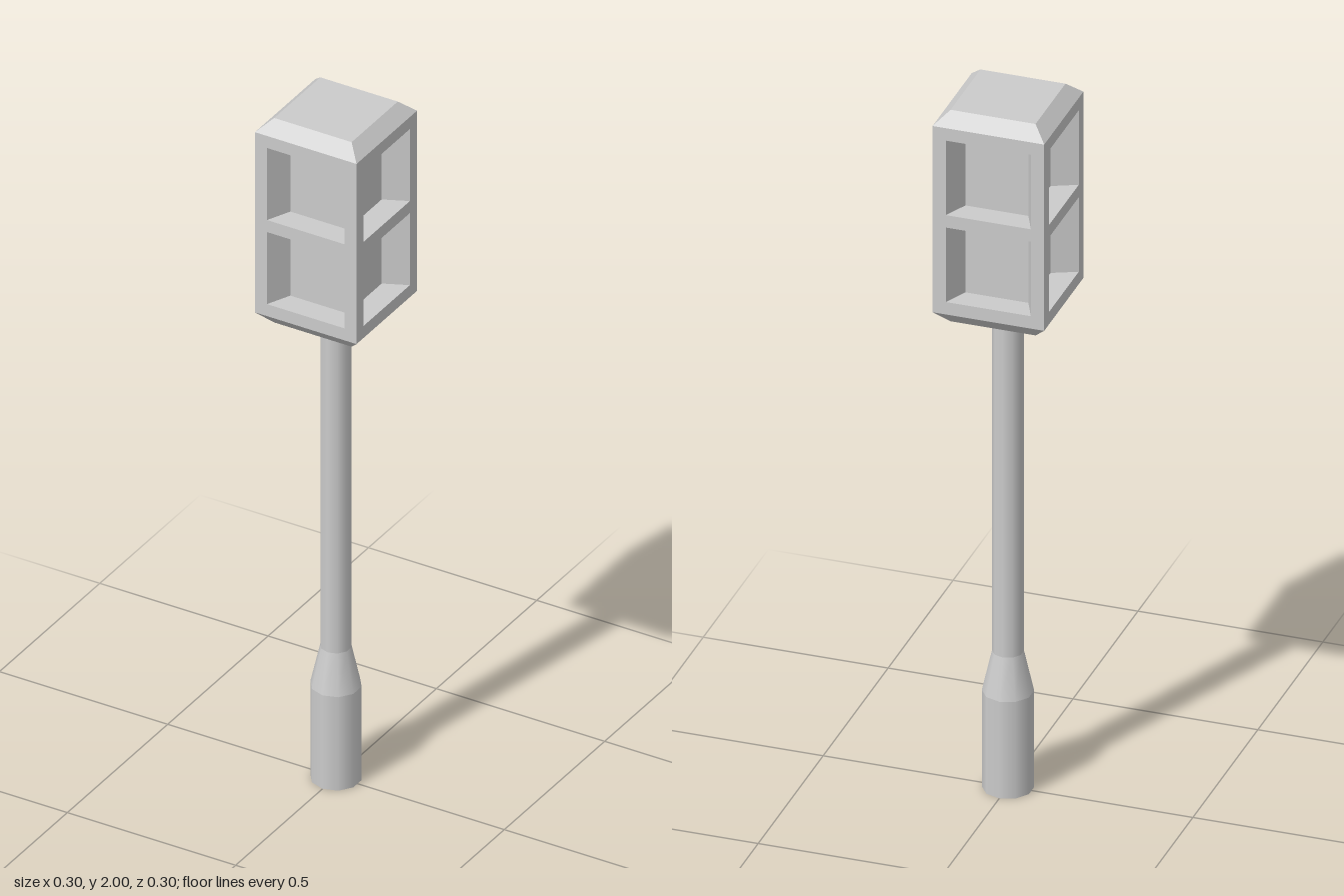
import * as THREE from 'three';

export function createModel() {
  const group = new THREE.Group();
  const flat = new THREE.MeshStandardMaterial({ color: 0xcccccc, flatShading: true });
  const smooth = new THREE.MeshStandardMaterial({ color: 0xcccccc });

  function add(name, geometry, y = 0, material = flat) {
    const mesh = new THREE.Mesh(geometry, material);
    mesh.name = name;
    mesh.position.y = y;
    group.add(mesh);
    return mesh;
  }

  // Round section of the post between two heights
  function section(name, rTop, rBottom, y0, y1, open = true) {
    add(name, new THREE.CylinderGeometry(rTop, rBottom, y1 - y0, 10, 1, open), (y0 + y1) / 2, smooth);
  }
  section('postBase', 0.067, 0.067, 0, 0.28, false);
  section('postTaper', 0.041, 0.067, 0.28, 0.395);
  section('postShaft', 0.041, 0.041, 0.395, 1.4);

  // Square frustum given by its half widths
  function frustum(name, top, bottom, y0, y1) {
    const geometry = new THREE.CylinderGeometry(top * Math.SQRT2, bottom * Math.SQRT2, y1 - y0, 4);
    geometry.rotateY(Math.PI / 4);
    add(name, geometry, (y0 + y1) / 2);
  }
  const half = 0.151, open = 0.115, core = 0.085;
  const y0 = 1.425, y1 = 1.965, bar = 0.036;
  frustum('headBottom', half, open, 1.387, y0);
  frustum('headRoof', open, half, y1, 2);

  // Horizontal frame bars around the head
  for (const y of [y0 + bar / 2, (y0 + y1) / 2, y1 - bar / 2]) {
    add('frameBar', new THREE.BoxGeometry(half * 2, bar, half * 2), y);
  }

  // Recessed panels of all four sides
  add('recessedPanels', new THREE.BoxGeometry(core * 2, y1 - y0, core * 2), (y0 + y1) / 2);

  // Corner posts with slanted inner sides
  const profile = new THREE.Shape([
    new THREE.Vector2(core, core),
    new THREE.Vector2(half, open),
    new THREE.Vector2(half, half),
    new THREE.Vector2(open, half),
  ]);
  const postGeometry = new THREE.ExtrudeGeometry(profile, { depth: y1 - y0, bevelEnabled: false });
  postGeometry.rotateX(-Math.PI / 2);
  for (let i = 0; i < 4; i++) {
    add('cornerPost', postGeometry, y0).rotation.y = i * Math.PI / 2;
  }

  return group;
}
